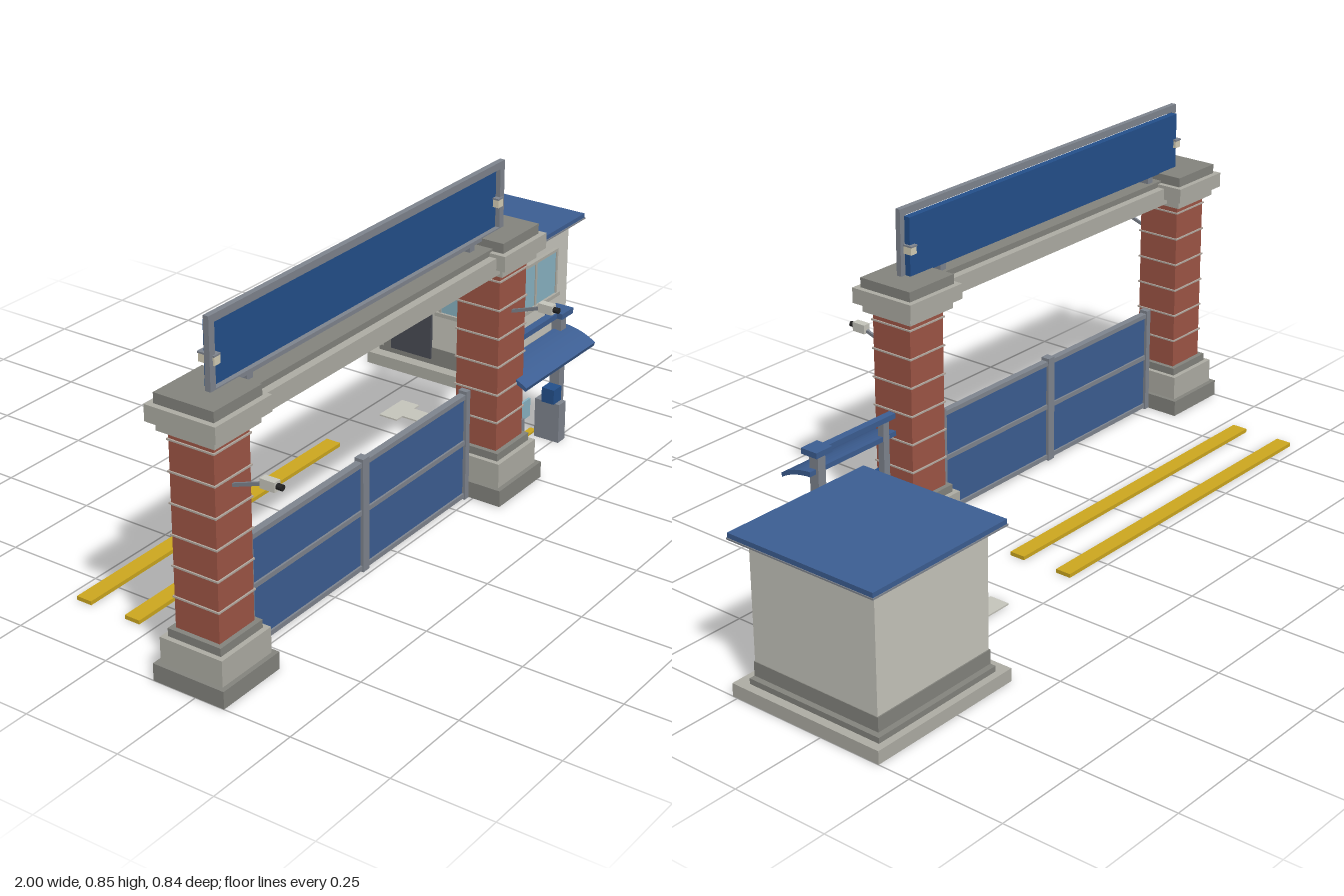
import * as THREE from 'three';

const COL = {
  stone: 0xb0afa6, darkStone: 0x85857f, brick: 0xa05646, joint: 0xb5aba2, steel: 0x808690,
  blue: 0x3d5f94, deepBlue: 0x24508c, glass: 0x8ab5c5, wall: 0xc8c7be, yellow: 0xcfa91f,
  black: 0x222222, cream: 0xd6d0b8, door: 0x4a4d55,
};
const mats = {};
const mat = (name) => (mats[name] ??= new THREE.MeshStandardMaterial({ color: COL[name], flatShading: true }));

function add(parent, name, geo, color) {
  const m = new THREE.Mesh(geo, mat(color));
  m.name = name;
  parent.add(m);
  return m;
}

// Box given by its limits on each axis
function box(parent, name, color, x0, x1, y0, y1, z0, z1) {
  const m = add(parent, name, new THREE.BoxGeometry(x1 - x0, y1 - y0, z1 - z0), color);
  m.position.set((x0 + x1) / 2, (y0 + y1) / 2, (z0 + z1) / 2);
  return m;
}

function group(parent, name) {
  const g = new THREE.Group();
  g.name = name;
  parent.add(g);
  return g;
}

const GZ = 0.231; // depth of the gateway's centre line

function pillar(root, name, x) {
  const g = group(root, name);
  g.position.set(x, 0, GZ);
  const tier = (n, color, w, y0, y1) => box(g, n, color, -w / 2, w / 2, y0, y1, -w / 2, w / 2);
  tier('pedestalBase', 'darkStone', 0.192, 0, 0.043);
  tier('pedestal', 'stone', 0.168, 0.043, 0.107);
  tier('pedestalTop', 'darkStone', 0.143, 0.107, 0.127);
  tier('brickShaft', 'brick', 0.118, 0.127, 0.595);
  for (let i = 0; i < 6; i++) tier('mortarJoint', 'joint', 0.125, 0.201 + i * 0.0742, 0.205 + i * 0.0742);
  tier('capitalNeck', 'stone', 0.153, 0.595, 0.618);
  tier('capital', 'stone', 0.185, 0.618, 0.657);
  tier('capitalTop', 'darkStone', 0.157, 0.657, 0.682);

  // Security camera on a sloping arm
  const arm = box(g, 'cameraArm', 'steel', -0.003, 0.003, -0.004, 0.004, -0.041, 0.041);
  arm.position.set(0, 0.492, 0.097);
  arm.rotation.x = -0.33;
  box(g, 'cameraBody', 'wall', -0.01, 0.01, 0.499, 0.522, 0.136, 0.174);
  const lens = add(g, 'cameraLens', new THREE.CylinderGeometry(0.007, 0.007, 0.015, 12), 'black');
  lens.rotation.x = Math.PI / 2;
  lens.position.set(0, 0.511, 0.181);
}

function signBoard(root) {
  const g = group(root, 'signBoard');
  box(g, 'signPanel', 'deepBlue', -0.9, 0.17, 0.68, 0.83, 0.22, 0.238);
  const f = [-0.918, 0.185];
  box(g, 'frameTop', 'steel', f[0], f[1], 0.832, 0.85, 0.236, 0.25);
  box(g, 'frameBottom', 'steel', f[0], f[1], 0.675, 0.685, 0.236, 0.25);
  box(g, 'frameSide', 'steel', f[0], f[0] + 0.018, 0.675, 0.85, 0.236, 0.25);
  box(g, 'frameSide', 'steel', f[1] - 0.018, f[1], 0.675, 0.85, 0.236, 0.25);
  for (const x of [-0.79, 0.05]) box(g, 'signFoot', 'steel', x - 0.01, x + 0.01, 0.66, 0.68, 0.222, 0.25);
  for (const x of [-0.898, 0.165]) {
    box(g, 'lamp', 'cream', x - 0.01, x + 0.01, 0.738, 0.757, 0.212, 0.254);
    box(g, 'lampCap', 'steel', x - 0.011, x + 0.011, 0.757, 0.761, 0.21, 0.254);
  }
}

function mainGate(root) {
  const g = group(root, 'mainGate');
  const posts = [-0.792, -0.367, 0.057];
  posts.forEach((x, i) => {
    const w = i === 1 ? 0.012 : 0.008;
    box(g, 'gatePost', 'steel', x - w, x + w, 0.005, 0.297, GZ - 0.012, GZ + 0.012);
  });
  for (let i = 0; i < 2; i++) {
    const [a, b] = [posts[i], posts[i + 1]];
    box(g, 'gatePanel', 'blue', a, b, 0.015, 0.285, GZ - 0.004, GZ + 0.004);
    for (const y of [0.015, 0.16, 0.283]) box(g, 'gateRail', 'steel', a, b, y - 0.006, y + 0.006, GZ - 0.009, GZ + 0.009);
  }
}

function sideEntrance(root) {
  const g = group(root, 'sideEntrance');
  // Tall post and top bar
  box(g, 'postFoot', 'wall', 0.475, 0.512, 0, 0.03, 0.211, 0.25);
  box(g, 'post', 'steel', 0.482, 0.507, 0.03, 0.338, 0.217, 0.245);
  box(g, 'postCap', 'blue', 0.468, 0.522, 0.337, 0.352, 0.206, 0.256);
  box(g, 'topBar', 'blue', 0.235, 0.47, 0.336, 0.35, 0.22, 0.24);
  box(g, 'lowPost', 'steel', 0.256, 0.276, 0, 0.34, 0.222, 0.24);

  // Curved awning swept along x
  const s = new THREE.Shape();
  s.moveTo(0.224, 0.3);
  s.quadraticCurveTo(0.28, 0.297, 0.32, 0.27);
  s.lineTo(0.317, 0.26);
  s.quadraticCurveTo(0.28, 0.284, 0.224, 0.287);
  s.closePath();
  const awning = add(g, 'awning', new THREE.ExtrudeGeometry(s, { depth: 0.33, bevelEnabled: false, curveSegments: 8 }), 'blue');
  awning.rotation.y = -Math.PI / 2;
  awning.position.x = 0.527;

  // Barrier cabinets with readers and a glass wing
  box(g, 'cabinet', 'steel', 0.255, 0.281, 0, 0.14, 0.197, 0.267);
  box(g, 'cabinet', 'steel', 0.45, 0.482, 0, 0.108, 0.195, 0.267);
  box(g, 'reader', 'deepBlue', 0.258, 0.278, 0.148, 0.205, 0.235, 0.254);
  box(g, 'reader', 'deepBlue', 0.443, 0.48, 0.108, 0.148, 0.218, 0.254);
  box(g, 'glassWing', 'glass', 0.295, 0.405, 0.08, 0.13, 0.202, 0.208);
}

// Two-pane window on the z = 0 plane, centred on x = 0 and y = 0
function windowUnit(parent, name, w, h) {
  const g = group(parent, name);
  box(g, 'pane', 'glass', -w / 2, w / 2, -h / 2, h / 2, 0, 0.007);
  for (const x of [-w / 2, 0, w / 2]) box(g, 'windowBar', 'stone', x - 0.004, x + 0.004, -h / 2, h / 2, 0, 0.01);
  box(g, 'windowHead', 'stone', -w / 2 - 0.004, w / 2 + 0.004, h / 2 - 0.004, h / 2 + 0.004, 0, 0.01);
  box(g, 'windowSill', 'stone', -w / 2 - 0.014, w / 2 + 0.014, -h / 2 - 0.007, -h / 2 + 0.004, 0, 0.014);
  return g;
}

function guardBooth(root) {
  const g = group(root, 'guardBooth');
  box(g, 'plinth', 'stone', 0.568, 1.0, 0, 0.033, -0.416, 0.014);
  box(g, 'step', 'darkStone', 0.6, 0.978, 0.033, 0.047, -0.398, -0.018);
  box(g, 'wallBase', 'darkStone', 0.6, 0.963, 0.047, 0.083, -0.383, -0.018);
  box(g, 'walls', 'wall', 0.602, 0.961, 0.083, 0.386, -0.38, -0.02);
  box(g, 'roofEdge', 'steel', 0.57, 0.997, 0.384, 0.388, -0.411, 0.011);
  box(g, 'roof', 'blue', 0.572, 0.995, 0.386, 0.4, -0.409, 0.009);
  windowUnit(g, 'frontWindow', 0.215, 0.13).position.set(0.782, 0.258, -0.02);
  const side = windowUnit(g, 'sideWindow', 0.15, 0.13);
  side.position.set(0.602, 0.258, -0.12);
  side.rotation.y = -Math.PI / 2;
  box(g, 'door', 'door', 0.594, 0.603, 0.05, 0.315, -0.355, -0.225);
  box(g, 'doorHandle', 'steel', 0.588, 0.595, 0.17, 0.195, -0.245, -0.238);
}

function groundMarks(root) {
  const g = group(root, 'groundMarks');
  for (const z of [-0.2, -0.058]) box(g, 'speedBump', 'yellow', -0.845, 0.112, 0, 0.01, z - 0.021, z + 0.021);
  for (const z of [0.063, 0.123, 0.183]) box(g, 'walkStripe', 'yellow', 0.26, 0.465, 0.007, 0.012, z - 0.009, z + 0.009);
  // T-shaped ground plate
  box(g, 'plateHead', 'wall', 0.31, 0.415, 0.003, 0.007, -0.195, -0.14);
  box(g, 'plateStem', 'wall', 0.336, 0.39, 0.003, 0.007, -0.14, 0.05 - 0.1);
}

export function createModel() {
  const root = new THREE.Group();
  root.name = 'entranceGate';
  pillar(root, 'rightPillar', -0.904);
  pillar(root, 'leftPillar', 0.17);
  // Stepped beam between the pillars
  box(root, 'beam', 'stone', -0.85, 0.115, 0.603, 0.648, 0.192, 0.3);
  box(root, 'beamTop', 'darkStone', -0.85, 0.115, 0.648, 0.663, 0.212, 0.28);
  signBoard(root);
  mainGate(root);
  sideEntrance(root);
  guardBooth(root);
  groundMarks(root);
  return root;
}
